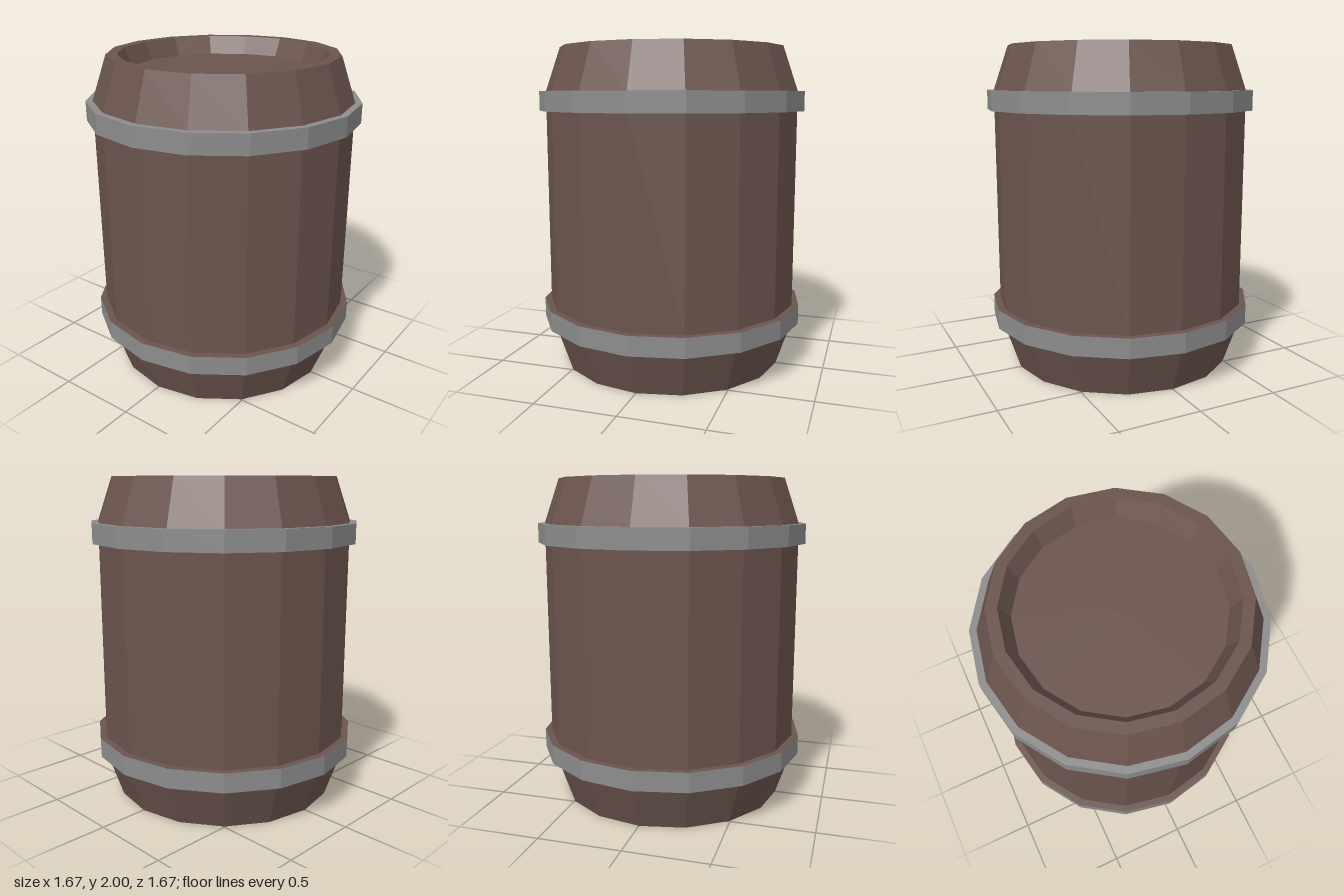
import * as THREE from 'three';

const SIDES = 16;

export function createModel() {
  const wood = new THREE.MeshStandardMaterial({ color: 0x6b544d });
  wood.name = 'brownWood';
  const iron = new THREE.MeshStandardMaterial({ color: 0x8c8c8c });
  iron.name = 'greyIron';

  const barrel = new THREE.Group();
  barrel.name = 'barrel';

  // Faceted lathe; profile points are [radius, height], listed upwards along the outside
  function turned(name, profile, material) {
    const points = profile.map(([r, y]) => new THREE.Vector2(r, y));
    const geometry = new THREE.LatheGeometry(points, SIDES).toNonIndexed();
    geometry.computeVertexNormals(); // flat facets
    const mesh = new THREE.Mesh(geometry, material);
    mesh.name = name;
    barrel.add(mesh);
  }

  // Staves with tapered ends, and wooden ledges on the inner side of each hoop
  turned('staves', [
    [0.635, 0], [0.7, 0], [0.793, 0.275],
    [0.793, 0.395], [0.835, 0.395], [0.793, 0.395],
    [0.793, 1.61], [0.835, 1.61], [0.793, 1.61],
    [0.793, 1.73], [0.7, 2], [0.635, 2],
  ].filter(([r]) => r !== 0.835), wood);
  turned('lowerLedge', [[0.835, 0.395], [0.79, 0.395]], wood);
  turned('upperLedge', [[0.79, 1.61], [0.835, 1.61]], wood);

  // Recessed lids
  turned('topLid', [[0.635, 2], [0.58, 1.89], [0, 1.89]], wood);
  turned('bottomLid', [[0, 0.08], [0.58, 0.08], [0.635, 0]], wood);

  // Iron hoops
  turned('lowerHoop', [[0.79, 0.275], [0.835, 0.275], [0.835, 0.395]], iron);
  turned('upperHoop', [[0.835, 1.61], [0.835, 1.73], [0.79, 1.73]], iron);

  return barrel;
}
